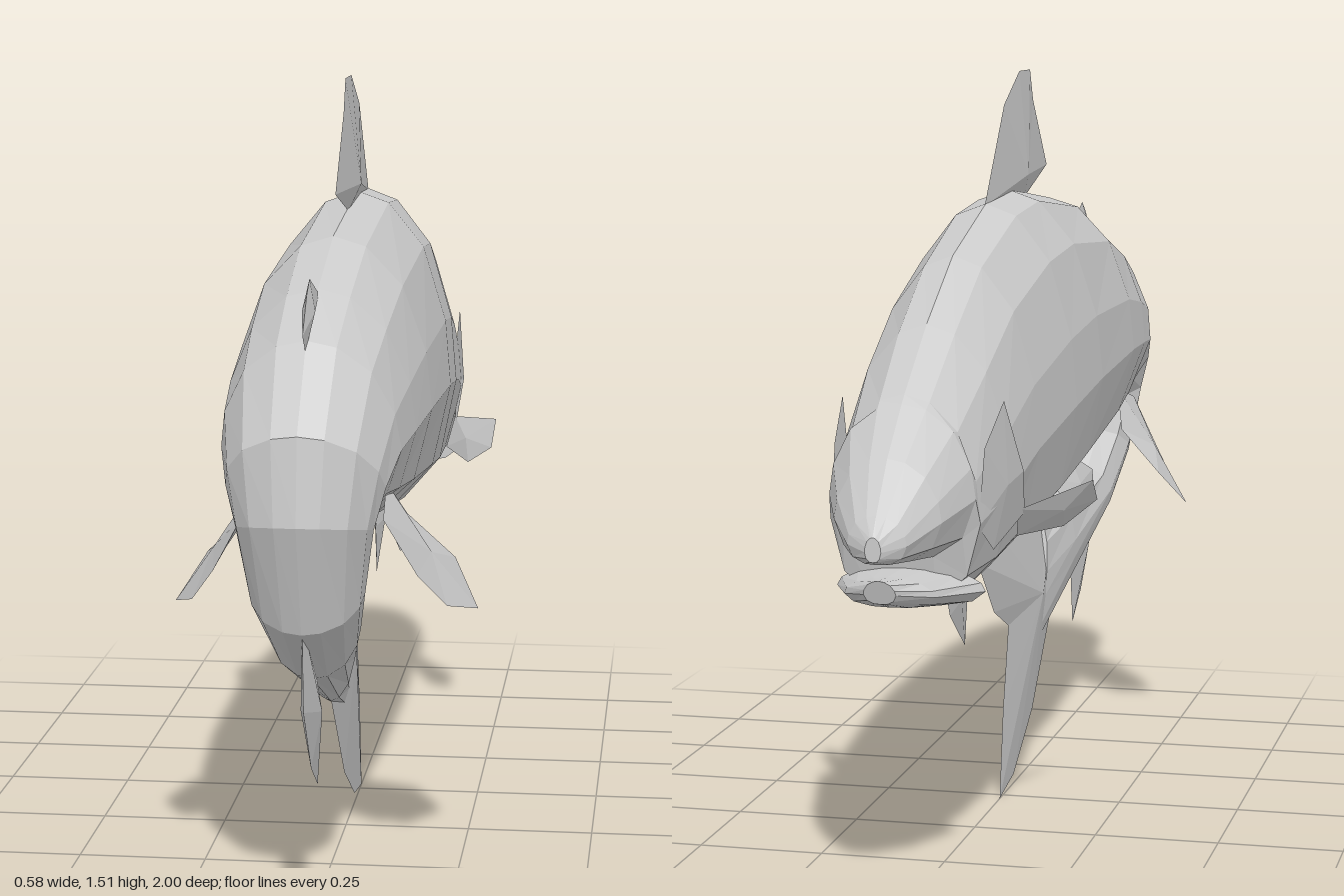
import * as THREE from 'three';

const material = new THREE.MeshStandardMaterial({ color: 0xcccccc, flatShading: true, side: THREE.DoubleSide });

function makeMesh(name, positions, index) {
  let geometry = new THREE.BufferGeometry();
  geometry.setAttribute('position', new THREE.Float32BufferAttribute(positions, 3));
  geometry.setIndex(index);
  geometry = geometry.toNonIndexed();
  geometry.computeVertexNormals();
  const mesh = new THREE.Mesh(geometry, material);
  mesh.name = name;
  return mesh;
}

// Half of a cross-section: [share of half width, share of height], back to belly
const HALF = [[0, 1], [0.33, 0.965], [0.7, 0.83], [0.94, 0.6], [1, 0.4], [0.82, 0.15], [0.42, 0.02], [0, 0]];
const RING = [...HALF, ...HALF.slice(1, -1).reverse().map(([x, v]) => [-x, v])];

// Skin over sections given as [back z, back y, belly z, belly y, half width]
function loft(name, sections) {
  const n = RING.length, positions = [], index = [];
  for (const [tz, ty, bz, by, w] of sections) {
    for (const [x, v] of RING) positions.push(x * w, by + (ty - by) * v, bz + (tz - bz) * v);
  }
  for (let s = 0; s < sections.length - 1; s++) {
    for (let i = 0; i < n; i++) {
      const a = s * n + i, b = s * n + (i + 1) % n;
      index.push(a, b, b + n, a, b + n, a + n);
    }
  }
  // Close both ends
  const last = (sections.length - 1) * n;
  for (let i = 1; i < n - 1; i++) {
    index.push(0, i + 1, i, last, last + i, last + i + 1);
  }
  return makeMesh(name, positions, index);
}

// Thin fin: outline of [x, y, z] points, thickened sideways at a hub point
function fin(name, outline, hub, thickness = 0.012) {
  const n = outline.length, index = [];
  const c = hub || [0, 1, 2].map(k => outline.reduce((sum, p) => sum + p[k], 0) / n);
  const positions = [...outline.flat(), c[0] + thickness, c[1], c[2], c[0] - thickness, c[1], c[2]];
  for (let i = 0; i < n; i++) {
    const j = (i + 1) % n;
    index.push(i, n, j, j, n + 1, i);
  }
  return makeMesh(name, positions, index);
}

const midline = points => points.map(([z, y]) => [0, y, z]);
const mirror = points => points.map(([x, y, z]) => [-x, y, z]);

export function createModel() {
  const model = new THREE.Group();
  model.name = 'fish';

  // Body, from snout over the back and round the curl to the tail root
  model.add(loft('body', [
    [-1, 0.735, -1, 0.69, 0.015],
    [-0.975, 0.77, -0.97, 0.68, 0.055],
    [-0.9, 0.86, -0.9, 0.672, 0.1],
    [-0.8, 0.945, -0.8, 0.66, 0.138],
    [-0.78, 0.96, -0.78, 0.57, 0.142],
    [-0.62, 1.07, -0.62, 0.558, 0.163],
    [-0.42, 1.18, -0.42, 0.565, 0.172],
    [-0.15, 1.26, -0.15, 0.588, 0.188],
    [0.05, 1.275, 0.1, 0.625, 0.195],
    [0.45, 1.23, 0.45, 0.68, 0.19],
    [0.68, 1.16, 0.62, 0.715, 0.178],
    [0.85, 1.09, 0.74, 0.745, 0.165],
    [0.98, 0.94, 0.79, 0.755, 0.145],
    [1, 0.78, 0.805, 0.74, 0.125],
    [0.93, 0.57, 0.78, 0.67, 0.105],
    [0.78, 0.45, 0.7, 0.595, 0.085],
    [0.5, 0.33, 0.5, 0.545, 0.05],
    [0.3, 0.26, 0.36, 0.52, 0.02],
  ]));

  model.add(loft('lowerJaw', [
    [-0.965, 0.65, -0.95, 0.605, 0.03],
    [-0.9, 0.645, -0.88, 0.585, 0.085],
    [-0.74, 0.64, -0.74, 0.562, 0.142],
  ]));

  // Fins on the midline
  model.add(fin('dorsalFin', midline([
    [-0.16, 1.255], [0.01, 1.45], [0.15, 1.515], [0.25, 1.515], [0.28, 1.45], [0.415, 1.305], [0.2, 1.25],
  ]), [0, 1.3, 0.15], 0.02));
  model.add(fin('adiposeFin', midline([
    [0.67, 1.15], [0.8, 1.195], [0.84, 1.17], [0.9, 1.105], [0.86, 1.07],
  ])));
  model.add(fin('analFin', midline([
    [0.92, 0.6], [0.905, 0.42], [0.8, 0.285], [0.705, 0.225], [0.68, 0.36], [0.74, 0.46],
  ]), null, 0.02));
  model.add(fin('throatFin', midline([
    [-0.41, 0.575], [-0.305, 0.5], [-0.33, 0.395], [-0.45, 0.48], [-0.5, 0.565],
  ])));
  model.add(fin('tailFin', midline([
    [0.5, 0.53], [0.38, 0.52], [0.02, 0.54], [-0.22, 0.54], [-0.08, 0.41], [0.05, 0.355],
    [0, 0.18], [-0.03, 0], [0.1, 0.02], [0.28, 0.12], [0.5, 0.335],
  ]), [0, 0.38, 0.28], 0.025));

  // Fins and gill covers in pairs, drawn for +x
  const pairs = {
    PectoralFin: [[0.155, 0.71, -0.53], [0.26, 0.74, -0.34], [0.255, 0.69, -0.27], [0.2, 0.645, -0.33], [0.14, 0.65, -0.48]],
    BellyFin: [[0.07, 0.66, 0.12], [0.1, 0.61, 0.15], [0.12, 0.58, 0.24], [0.12, 0.6, 0.36], [0.11, 0.64, 0.39], [0.08, 0.69, 0.28]],
    PelvicFin: [[0.13, 0.75, 0.77], [0.19, 0.64, 0.74], [0.24, 0.57, 0.68], [0.29, 0.54, 0.57],
      [0.24, 0.62, 0.49], [0.15, 0.71, 0.52], [0.12, 0.79, 0.62]],
    GillCover: [[0.172, 0.79, -0.56], [0.155, 0.935, -0.65], [0.142, 0.86, -0.75], [0.138, 0.72, -0.78],
      [0.142, 0.66, -0.68], [0.16, 0.7, -0.5]],
  };
  for (const [name, points] of Object.entries(pairs)) {
    model.add(fin('left' + name, points), fin('right' + name, mirror(points)));
  }
  return model;
}
